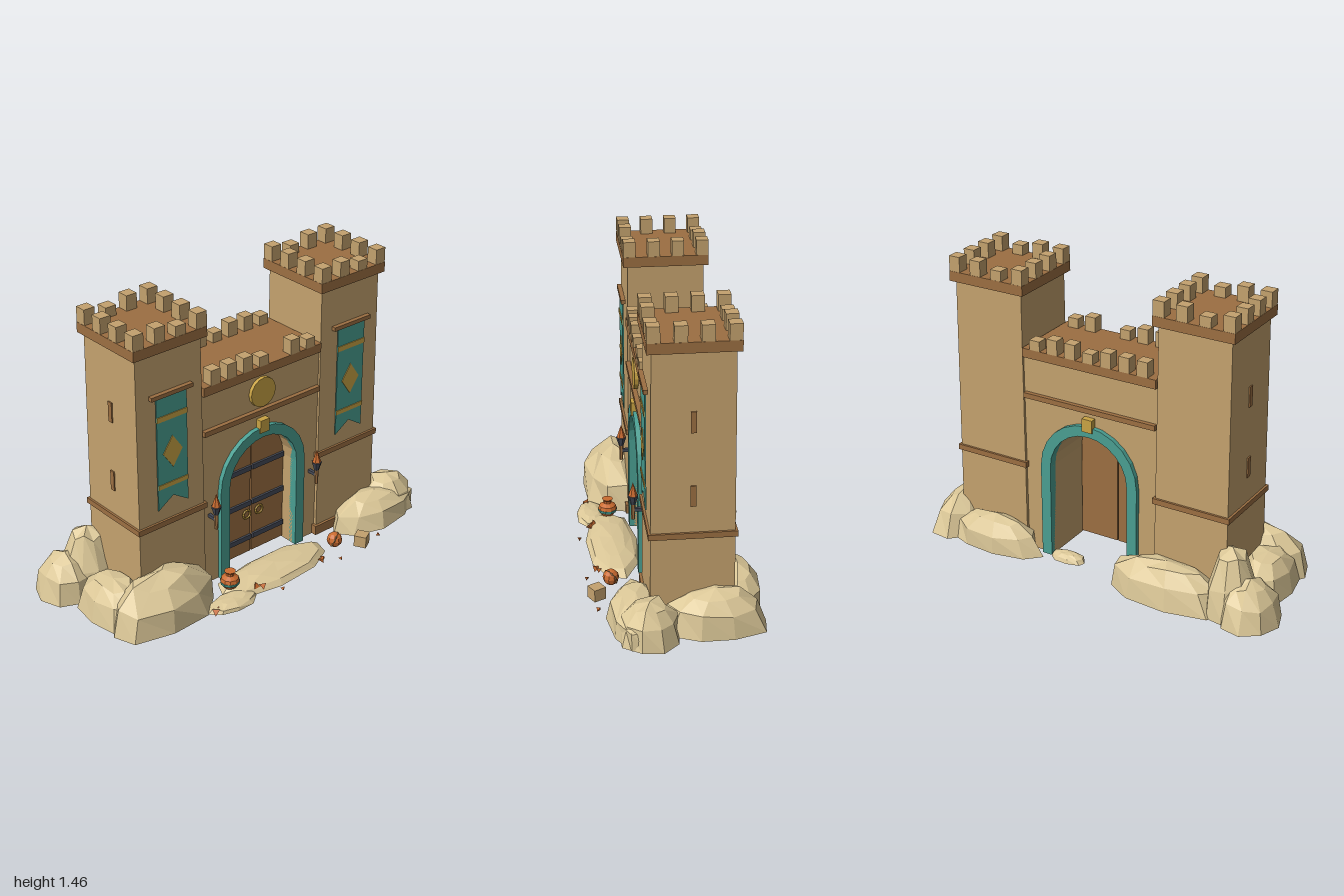
import * as THREE from 'three';

const mat = (name, color, extra = {}) => {
  const m = new THREE.MeshStandardMaterial({ color, flatShading: true, ...extra });
  m.name = name;
  return m;
};

export function createModel() {
  const sand = mat('sandstone', 0xc4a26e);
  const brown = mat('brown trim', 0x9c6f42);
  const teal = mat('teal', 0x4a9f92, { side: THREE.DoubleSide });
  const gold = mat('gold', 0xc9a344);
  const slate = mat('dark iron', 0x454a57);
  const stone = mat('pale rock', 0xdcc898, { side: THREE.DoubleSide });
  const clay = mat('orange clay', 0xcb6c30);

  const model = new THREE.Group();
  model.name = 'castleGate';
  const CX = 0.02, CZ = -0.052; // centre of the building

  const add = (name, geo, material, x = 0, y = 0, z = 0, parent = model) => {
    const m = new THREE.Mesh(geo, material);
    m.name = name;
    m.position.set(x, y, z);
    parent.add(m);
    return m;
  };
  const box = (name, w, h, d, material, x, y, z, parent) =>
    add(name, new THREE.BoxGeometry(w, h, d), material, x, y, z, parent);
  const extrude = (shape, depth) =>
    new THREE.ExtrudeGeometry(shape, { depth, bevelEnabled: false, curveSegments: 7 });
  const poly = pts => new THREE.Shape(pts.map(p => new THREE.Vector2(p[0], p[1])));

  // Round arch points, from left foot over the top to right foot
  const archPoints = (rx, ry, spring, n = 12) => {
    const pts = [[-rx, 0]];
    for (let i = 0; i <= n; i++) {
      const a = Math.PI * (1 - i / n);
      pts.push([rx * Math.cos(a), spring + ry * Math.sin(a)]);
    }
    pts.push([rx, 0]);
    return pts;
  };

  // Towers
  const merlon = (parent, x, y, z, i, s = 0.058) => {
    const h = 0.075 - (i % 3 === 2 ? 0.025 : 0);
    box('merlon', s, h, s, sand, x, y + h / 2, z, parent);
  };
  for (const side of [-1, 1]) {
    const t = new THREE.Group();
    t.name = side < 0 ? 'rightTower' : 'leftTower';
    t.position.set(CX + side * 0.55, 0, CZ);
    model.add(t);

    const body = new THREE.BoxGeometry(0.384, 1.34, 0.384);
    const p = body.attributes.position;
    for (let i = 0; i < p.count; i++) if (p.getY(i) > 0) {
      p.setX(i, p.getX(i) * 0.955);
      p.setZ(i, p.getZ(i) * 0.955);
    }
    add('towerBody', body, sand, 0, 0.67, 0, t);
    box('towerBase', 0.41, 0.05, 0.41, brown, 0, 0.027, 0, t);
    box('towerLedge', 0.4, 0.028, 0.4, brown, 0, 0.455, 0, t);
    box('towerCap', 0.41, 0.05, 0.41, brown, 0, 1.35, 0, t);
    const row = [-0.175, -0.058, 0.058, 0.175];
    row.forEach((a, i) => row.forEach((b, j) => {
      if (i % 3 === 0 || j % 3 === 0) merlon(t, a, 1.375, b, i % 3 === 0 ? 0 : i + (j ? 0 : 1));
    }));
    for (const y of [0.647, 1.0]) box('arrowSlit', 0.012, 0.1, 0.026, brown, side * (0.192 - y * 0.0065), y, 0, t);

    // Banner
    const b = new THREE.Group();
    b.name = 'banner';
    b.position.z = 0.196;
    t.add(b);
    const cloth = poly([[-0.086, 1.11], [-0.086, 0.535], [0, 0.59], [0.086, 0.535], [0.086, 1.11]]);
    add('bannerCloth', extrude(cloth, 0.006), teal, 0, 0, 0, b);
    box('bannerStripe', 0.172, 0.026, 0.004, gold, 0, 1.0, 0.008, b);
    box('bannerStripe', 0.172, 0.022, 0.004, gold, 0, 0.655, 0.008, b);
    const diamond = poly([[0, 0.74], [0.055, 0.82], [0, 0.9], [-0.055, 0.82]]);
    add('bannerDiamond', extrude(diamond, 0.004), gold, 0, 0, 0.006, b);
    box('bannerRod', 0.235, 0.02, 0.022, brown, 0, 1.117, 0.004, b);
  }

  // Gate wall with an arched passage
  const wall = new THREE.Group();
  wall.name = 'gateWall';
  wall.position.set(CX, 0, CZ);
  model.add(wall);
  const inner = archPoints(0.212, 0.212, 0.48);
  const wallShape = poly([[-0.365, 0], ...inner, [0.365, 0], [0.365, 1.03], [-0.365, 1.03]]);
  add('wallBody', extrude(wallShape, 0.35), sand, 0, 0, -0.175, wall);
  box('wallCap', 0.72, 0.045, 0.39, brown, 0, 1.042, 0, wall);
  const frame = poly([...archPoints(0.265, 0.265, 0.48), ...inner.slice().reverse()]);
  for (const s of [-1, 1]) {
    add('archFrame', extrude(frame, 0.045), teal, 0, 0, s * 0.176 - 0.0225, wall);
    box('keystone', 0.056, 0.066, 0.05, gold, 0, 0.752, s * 0.181, wall);
    box('wallLedge', 0.715, 0.026, 0.03, brown, 0, 0.825, s * 0.182, wall);
    for (let i = 0; i < 7; i++)
      if (s < 0 || i !== 4) merlon(wall, -0.29 + i * 0.0967, 1.064, s * 0.167, i + 2 + (i === 0 ? 1 : 0), 0.056);
  }
  const disc = add('medallion', new THREE.CylinderGeometry(0.075, 0.075, 0.02, 16), gold, 0, 0.925, 0.183, wall);
  disc.rotation.x = Math.PI / 2;

  // Double door
  const door = new THREE.Group();
  door.name = 'door';
  door.position.z = 0.075;
  wall.add(door);
  for (const s of [-1, 1]) {
    const half = archPoints(0.207, 0.207, 0.48).filter(q => q[0] * s > 0.01);
    const edge = [[0.004 * s, 0.687], [0.004 * s, 0]];
    const leaf = poly(s < 0 ? [...half, ...edge] : [edge[1], edge[0], ...half]);
    add('doorLeaf', extrude(leaf, 0.03), brown, 0, 0.01, 0, door);
    for (const y of [0.097, 0.292, 0.487]) box('ironBand', 0.2, 0.026, 0.014, slate, s * 0.105, y, 0.034, door);
    add('doorRing', new THREE.TorusGeometry(0.022, 0.006, 6, 12), gold, s * 0.039, 0.24, 0.046, door);
  }

  // Wall torches
  for (const s of [-1, 1]) {
    const t = new THREE.Group();
    t.name = 'torch';
    t.position.set(CX + s * 0.319, 0, 0.175);
    model.add(t);
    add('torchHandle', new THREE.CylinderGeometry(0.011, 0.009, 0.09, 6), brown, 0, 0.37, 0, t);
    box('torchBracket', 0.016, 0.016, 0.06, slate, 0, 0.375, -0.03, t);
    add('torchCup', new THREE.CylinderGeometry(0.026, 0.012, 0.045, 7), slate, 0, 0.425, 0, t);
    add('torchFlame', new THREE.CylinderGeometry(0, 0.023, 0.07, 6), clay, 0, 0.48, 0, t);
  }

  // Rocks: open faceted domes, roughened by a hash of each vertex
  const rock = (x, z, rx, rz, h, seed, peak = 0) => {
    const g = new THREE.SphereGeometry(1, 9, 3, 0, Math.PI * 2, 0, Math.PI / 2);
    const p = g.attributes.position;
    const hash = (a, b, c) => {
      const v = Math.sin(a * 12.99 + b * 78.23 + c * 37.72 + seed * 4.1) * 4375.5;
      return v - Math.floor(v);
    };
    for (let i = 0; i < p.count; i++) {
      const [a, b, c] = [p.getX(i), p.getY(i), p.getZ(i)].map(v => Math.round(v * 100) / 100 + 0);
      const k = 0.88 + 0.18 * hash(a, b, c);
      const up = b > 0.01 ? Math.pow(b, peak ? 1.3 : 0.85) * (0.86 + 0.16 * hash(c, a, b)) : 0;
      p.setXYZ(i, (a * k + peak * up) * rx, up * h, c * k * rz);
    }
    add('rock', g, stone, x, 0, z);
  };
  rock(-0.64, 0.19, 0.32, 0.17, 0.25, 1);
  rock(-0.8, 0.03, 0.14, 0.22, 0.21, 2);
  rock(-0.86, -0.27, 0.145, 0.16, 0.22, 3);
  rock(-0.76, -0.24, 0.14, 0.15, 0.37, 4, 0.1);
  rock(-0.44, -0.3, 0.33, 0.13, 0.21, 5);
  rock(0.53, -0.29, 0.27, 0.115, 0.17, 6);
  rock(0.79, -0.15, 0.15, 0.25, 0.215, 7);
  rock(0.72, 0.2, 0.28, 0.13, 0.165, 8);
  rock(0.85, 0.15, 0.155, 0.15, 0.2, 9);
  rock(0.0, 0.25, 0.36, 0.13, 0.05, 10);
  rock(-0.33, 0.33, 0.145, 0.08, 0.035, 11);
  rock(0.14, -0.24, 0.1, 0.05, 0.04, 12);

  // Clay pots
  const pot = new THREE.Group();
  pot.name = 'pot';
  pot.position.set(-0.28, 0.03, 0.25);
  model.add(pot);
  const profile = [[0, 0], [0.03, 0], [0.048, 0.03], [0.042, 0.052], [0.02, 0.066], [0.02, 0.078], [0.028, 0.088], [0, 0.088]]
    .map(q => new THREE.Vector2(q[0], q[1]));
  add('potBody', new THREE.LatheGeometry(profile, 10), clay, 0, 0, 0, pot);
  add('potBand', new THREE.CylinderGeometry(0.049, 0.046, 0.014, 10), teal, 0, 0.027, 0, pot);
  add('fallenPot', new THREE.SphereGeometry(0.039, 9, 6), clay, 0.37, 0.04, 0.285);
  const ring = add('fallenPotBand', new THREE.TorusGeometry(0.037, 0.005, 4, 10), brown, 0.37, 0.04, 0.285);
  ring.rotation.set(0.5, 0.6, 0);

  // Crate and scattered shards
  box('crate', 0.062, 0.06, 0.062, sand, 0.485, 0.03, 0.36).rotation.y = 0.5;
  [[-0.45, 0.35, 0.018], [-0.43, 0.34, 0.014], [-0.185, 0.33, 0.016], [-0.16, 0.35, 0.016], [-0.08, 0.405, 0.01],
    [0.23, 0.345, 0.016], [0.245, 0.335, 0.012], [0.31, 0.395, 0.01], [0.6, 0.36, 0.011]].forEach(([x, z, r], i) => {
    const y = i === 2 || i === 3 ? 0.03 : r * 0.7;
    add('shard', new THREE.TetrahedronGeometry(r * 1.3), clay, x, y, z).rotation.set(i, i * 2, 0);
  });

  return model;
}
